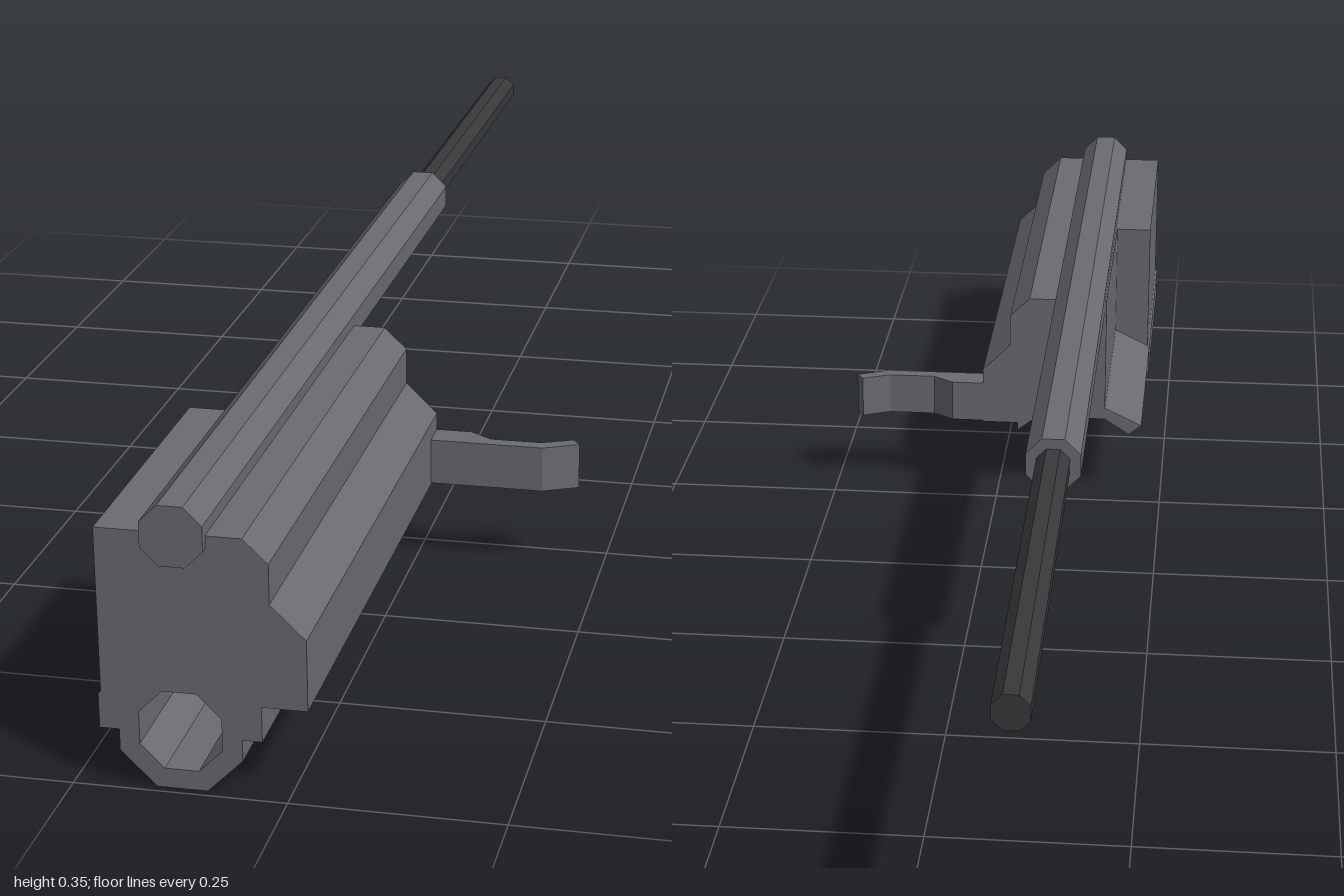
import * as THREE from 'three';

const CX = -0.1245; // shared axis of the barrel and the lower tube

// Corners of an octagon with level flats, given its half width
function octagon(cy, half) {
  const r = half / Math.cos(Math.PI / 8);
  return Array.from({ length: 8 }, (_, i) => {
    const a = Math.PI / 8 + i * Math.PI / 4;
    return new THREE.Vector2(CX + r * Math.cos(a), cy + r * Math.sin(a));
  });
}

const toShape = (pts) => new THREE.Shape(pts.map((p) => new THREE.Vector2(p[0], p[1])));

export function createModel() {
  const group = new THREE.Group();
  const steel = new THREE.MeshStandardMaterial({ color: 0x6a6c71 });
  steel.name = 'grey steel';
  const dark = new THREE.MeshStandardMaterial({ color: 0x38393b });
  dark.name = 'dark steel';

  // Extrudes an xy outline from z0 to z1
  function extrude(name, shape, z0, z1, material = steel) {
    const geo = new THREE.ExtrudeGeometry(shape, { depth: z1 - z0, bevelEnabled: false });
    geo.translate(0, 0, z0);
    const mesh = new THREE.Mesh(geo, material);
    mesh.name = name;
    group.add(mesh);
  }

  // Stepped right-hand outline shared by both halves of the housing
  const ridge = [[0.023, 0.111], [0.023, 0.197], [-0.018, 0.237], [-0.018, 0.285], [-0.047, 0.313]];

  // Front housing, with the lower tube bored through it
  const front = toShape([
    [-0.154, 0], [-0.095, 0], [-0.053, 0.042], [-0.053, 0.068], [-0.03, 0.068], [-0.03, 0.111],
    ...ridge,
    [-0.216, 0.313], [-0.216, 0.114], [-0.219, 0.11], [-0.219, 0.068], [-0.196, 0.068], [-0.196, 0.042],
  ]);
  front.holes.push(new THREE.Path(octagon(0.072, 0.048).reverse()));
  extrude('frontHousing', front, 0.615, 0.99);

  // Rear housing, cut back on one side above a sloping ledge
  extrude('rearHousing', toShape([
    [-0.2, 0.098], [-0.163, 0.122], [-0.06, 0.122], [-0.03, 0.099], [-0.03, 0.111],
    ...ridge,
    [-0.163, 0.313], [-0.163, 0.14], [-0.219, 0.113],
  ]), 0.28, 0.615);

  // Barrel sleeve and the thinner barrel leaving it
  extrude('barrelSleeve', new THREE.Shape(octagon(0.313, 0.036)), -0.335, 1);
  extrude('barrel', new THREE.Shape(octagon(0.313, 0.022)), -1, -0.335, dark);

  // Side handle: plan outline (x, -z) extruded upward
  const handleGeo = new THREE.ExtrudeGeometry(toShape([
    [0.01, -0.32], [0.172, -0.32], [0.218, -0.298], [0.208, -0.283],
    [0.168, -0.301], [0.1, -0.301], [0.07, -0.28], [0.01, -0.28],
  ]), { depth: 0.061, bevelEnabled: false });
  handleGeo.rotateX(-Math.PI / 2);
  handleGeo.translate(0, 0.113, 0);
  const handle = new THREE.Mesh(handleGeo, steel);
  handle.name = 'sideHandle';
  group.add(handle);

  return group;
}
